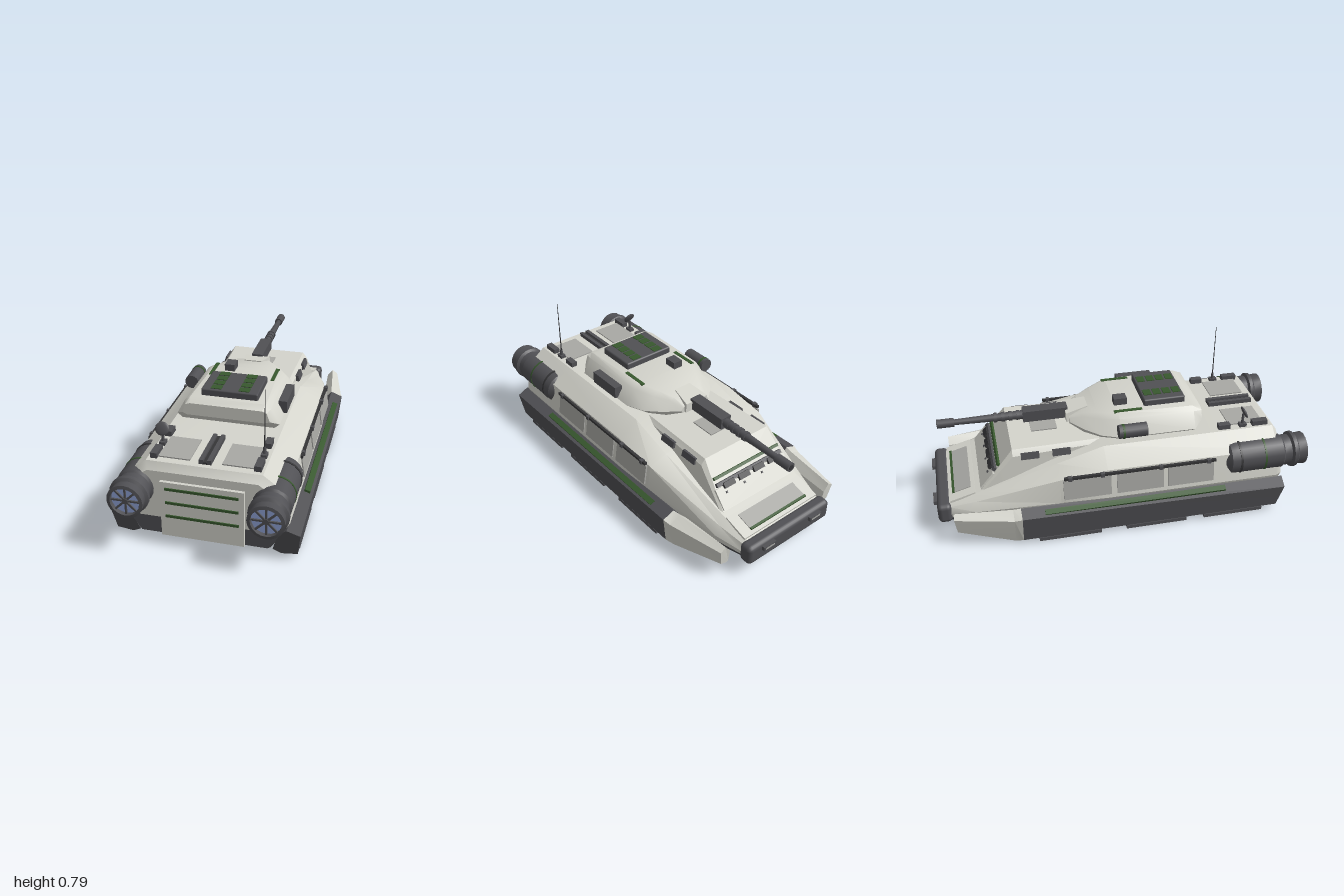
import * as THREE from 'three';
import { toCreasedNormals } from 'three/addons/utils/BufferGeometryUtils.js';
import { RoundedBoxGeometry } from 'three/addons/geometries/RoundedBoxGeometry.js';

const mat = (name, color) => Object.assign(new THREE.MeshStandardMaterial({ color }), { name });
const M = {
  hull: mat('pale hull', 0xd4d4cc),
  panel: mat('grey panel', 0xa8a8a4),
  dark: mat('dark grey', 0x505054),
  black: mat('charcoal', 0x353537),
  green: mat('green trim', 0x38582e),
  pad: mat('lift pad blue', 0x6098b4),
  fan: mat('fan blue', 0x90a4d8),
};

function add(parent, name, geo, material, x = 0, y = 0, z = 0) {
  const m = new THREE.Mesh(geo, material);
  m.name = name;
  m.position.set(x, y, z);
  parent.add(m);
  return m;
}
// box given by its centre and size
const box = (p, name, material, x, y, z, w, h, d) =>
  add(p, name, new THREE.BoxGeometry(w, h, d), material, x, y, z);
// cylinder lying along z
const rod = (p, name, material, x, y, z, r, len, r2 = r, n = 14) =>
  add(p, name, new THREE.CylinderGeometry(r, r2, len, n).rotateX(Math.PI / 2), material, x, y, z);

// closed loft; rings run counterclockwise seen from +z, stations go from +z to -z
function loft(rings, crease = 0.5) {
  const v = [], n = rings[0].length;
  const tri = (...ps) => ps.forEach(p => v.push(...p));
  for (let s = 0; s < rings.length - 1; s++)
    for (let i = 0; i < n; i++) {
      const j = (i + 1) % n, A = rings[s], B = rings[s + 1];
      tri(A[i], B[i], A[j]);
      tri(A[j], B[i], B[j]);
    }
  const a = rings[0], b = rings[rings.length - 1];
  for (let i = 1; i < n - 1; i++) {
    tri(a[0], a[i], a[i + 1]);
    tri(b[0], b[i + 1], b[i]);
  }
  const g = new THREE.BufferGeometry();
  g.setAttribute('position', new THREE.Float32BufferAttribute(v, 3));
  return toCreasedNormals(g, crease);
}
// symmetric ring from its right-hand points, listed bottom to top
const sym = (z, pts) => [
  ...pts.map(([x, y]) => [x, y, z]),
  ...pts.slice().reverse().map(([x, y]) => [-x, y, z]),
];
const mirrorRings = rings => rings.map(r => r.map(([x, y, z]) => [-x, y, z]).reverse());

function buildHull(root) {
  const full = [[.32, .045], [.385, .15], [.41, .2], [.387, .36], [.28, .44]];
  const stations = [
    [.86, [[.31, .06], [.37, .15], [.395, .2], [.36, .34], [.265, .405]]],
    [.83, full],
    [-.1, full],
    [-.35, [[.32, .045], [.38, .14], [.4, .2], [.38, .33], [.28, .365]]],
    [-.78, [[.28, .06], [.31, .11], [.32, .15], [.29, .195], [.25, .22]]],
    [-.92, [[.25, .07], [.26, .09], [.27, .12], [.26, .16], [.24, .175]]],
  ];
  add(root, 'upperHull', loft(stations.map(([z, p]) => sym(z, p.slice(1)))), M.hull);
  add(root, 'lowerHull', loft(stations.map(([z, p]) => sym(z, p.slice(0, 2)))), M.dark);

  // raised front cabin
  add(root, 'cabin', loft([
    sym(-.1, [[.22, .25], [.22, .42], [.2, .438]]),
    sym(-.57, [[.25, .22], [.235, .41], [.212, .44]]),
    sym(-.75, [[.25, .17], [.25, .215], [.24, .228]]),
  ], 0.3), M.hull);
  box(root, 'cabinHatch', M.panel, 0, .441, -.38, .13, .008, .14);

  // sloped front face, local y is its normal
  const face = new THREE.Group();
  face.name = 'frontFace';
  face.position.set(0, .334, -.66);
  face.rotation.x = -.876;
  root.add(face);
  box(face, 'facePlate', M.hull, 0, .003, -.075, .47, .012, .11);
  box(face, 'visorRail', M.dark, 0, .008, -.005, .44, .016, .02);
  box(face, 'visorStripe', M.green, 0, .008, .03, .44, .014, .014);
  for (let i = 0; i < 4; i++) {
    box(face, 'periscope', M.black, -.15 + i * .1, .012, -.02, .07, .022, .03);
    box(face, 'bolt', M.dark, -.18 + i * .12, .01, -.055, .01, .01, .01);
  }

  // lower bow plate and bumper
  const bow = new THREE.Group();
  bow.name = 'bowPlate';
  bow.position.set(0, .202, -.845);
  bow.rotation.x = -.28;
  root.add(bow);
  box(bow, 'bowPanel', M.hull, 0, 0, 0, .5, .012, .14);
  box(bow, 'bowInset', M.panel, 0, .004, 0, .38, .012, .1);
  box(bow, 'bowStripe', M.green, 0, .01, -.045, .38, .012, .012);
  add(root, 'bumper', new RoundedBoxGeometry(.56, .11, .075, 2, .025), M.dark, 0, .125, -.945);
  for (const s of [-1, 1]) {
    box(root, 'bumperLamp', M.dark, s * .16, .15, -.985, .08, .022, .03);
    box(root, 'bumperLampLens', M.panel, s * .16, .15, -.998, .06, .01, .006);
  }

  // rear door
  box(root, 'rearDoor', M.hull, 0, .21, .865, .406, .3, .022);
  for (const y of [.175, .25, .325]) box(root, 'doorStripe', M.green, 0, y, .877, .355, .013, .009);

  // belly lift pads
  for (const z of [.38, -.3]) {
    box(root, 'bellyPadFrame', M.dark, 0, .04, z, .355, .02, .38);
    box(root, 'bellyPad', M.pad, 0, .029, z, .31, .006, .33);
  }
}

function buildSides(root) {
  const skirt = (z, dy, cut = 0) => [
    [.33, .04], [.37, .018], [.45, .03], [.465, .165 + dy], [.4, .19 + dy], [.36, .15],
  ].map(([x, y]) => [x, y, z - cut * (.19 - y)]);
  const body = [skirt(.87, -.01, .25), skirt(-.56, .01)];
  const ear = [
    skirt(-.56, .01),
    [[.34, .03, -.6], [.37, .012, -.6], [.43, .016, -.6], [.455, .165, -.6], [.395, .195, -.6], [.35, .15, -.6]],
    [[.33, .075, -.89], [.34, .07, -.89], [.375, .08, -.89], [.39, .17, -.9], [.36, .19, -.9], [.33, .15, -.9]],
  ];
  for (const s of [-1, 1]) {
    const side = r => (s > 0 ? r : mirrorRings(r));
    add(root, 'skirt', loft(side(body), 0.3), M.dark);
    add(root, 'skirtNose', loft(side(ear), 0.2), M.hull);
    box(root, 'skirtStripe', M.green, s * .438, .183, .045, .03, .012, .97).rotation.z = -s * .38;
    for (const z of [.585, .155, -.312]) {
      box(root, 'skirtPadFrame', M.dark, s * .385, .014, z, .125, .02, .33);
      box(root, 'skirtPad', M.pad, s * .385, .003, z, .095, .006, .28);
    }
    // side panels with their rail
    for (const z of [.345, .07, -.21])
      box(root, 'sidePanel', M.panel, s * .4, .278, z, .009, .11, .25).rotation.z = s * .143;
    box(root, 'sideRail', M.black, s * .394, .345, .075, .016, .014, .81);
    for (const z of [.44, .18, -.13, -.3]) box(root, 'railClip', M.dark, s * .396, .345, z, .022, .022, .02);
    for (const z of [-.315, -.48])
      box(root, 'cabinVent', M.dark, s * .231, .405, z, .025, .035, .095).rotation.z = s * .3;
    buildEngine(root, s * .33);
  }
}

function buildEngine(root, x) {
  const g = new THREE.Group();
  g.name = 'engine';
  g.position.set(x, .305, 0);
  root.add(g);
  const profile = [[0, .49], [.03, .5], [.09, .57], [.093, .6], [.093, .86], [.083, .87], [.083, .91],
    [.097, .92], [.097, .94], [.084, .95], [.088, .995], [.072, .998], [.072, .965]];
  const shell = new THREE.LatheGeometry(profile.map(p => new THREE.Vector2(...p)), 20).rotateX(Math.PI / 2);
  add(g, 'engineShell', toCreasedNormals(shell, 0.5), M.dark);
  rod(g, 'engineBand', M.green, 0, 0, .757, .0955, .01, .0955, 20);
  rod(g, 'engineBand', M.black, 0, 0, .62, .096, .012, .096, 20);
  add(g, 'fanDisc', new THREE.CircleGeometry(.073, 20), M.fan, 0, 0, .975);
  for (let i = 0; i < 4; i++)
    box(g, 'fanSpoke', M.dark, 0, 0, .983, .142, .009, .008).rotation.z = i * Math.PI / 4;
  rod(g, 'fanHub', M.dark, 0, 0, .984, .014, .014);
}

function buildTurret(root) {
  const t = new THREE.Group();
  t.name = 'turret';
  root.add(t);
  add(t, 'turretShell', loft([
    sym(.447, [[.2, .49], [.225, .5], [.21, .545], [.185, .555]]),
    sym(.4, [[.24, .445], [.267, .468], [.222, .55], [.195, .57]]),
    sym(0, [[.24, .445], [.267, .468], [.215, .55], [.18, .57]]),
    sym(-.1, [[.2, .445], [.23, .472], [.165, .535], [.13, .555]]),
    sym(-.18, [[.14, .45], [.165, .48], [.11, .525], [.09, .538]]),
    sym(-.245, [[.08, .475], [.095, .49], [.08, .505], [.07, .512]]),
  ], 0.6), M.hull);
  add(t, 'turretRing', new THREE.CylinderGeometry(.19, .19, .03, 24), M.dark, 0, .438, .15);

  // roof hatch with lit grid
  add(t, 'roofHatch', new RoundedBoxGeometry(.295, .045, .225, 1, .008), M.dark, 0, .583, .26);
  for (const s of [-1, 1]) {
    for (let i = 0; i < 4; i++) box(t, 'hatchCell', M.green, s * .072, .606, .18 + i * .053, .055, .006, .042);
    box(t, 'roofStripe', M.green, s * .168, .567, .055, .02, .012, .15);
  }
  box(t, 'roofSight', M.dark, -.08, .585, .028, .055, .045, .07);
  box(t, 'sideBox', M.dark, .258, .507, .185, .045, .065, .205);

  // side sensor barrel
  rod(t, 'sensor', M.dark, -.275, .513, .055, .037, .15);
  rod(t, 'sensorBand', M.green, -.275, .513, .005, .039, .012);
  box(t, 'sensorArm', M.dark, -.24, .505, .05, .06, .03, .05);

  // gun
  add(t, 'gunMantlet', loft([
    sym(-.14, [[.055, .48], [.05, .552]]),
    sym(-.26, [[.075, .48], [.07, .53]]),
  ], 0.2), M.hull);
  box(t, 'gunHousing', M.dark, 0, .513, -.365, .064, .062, .24);
  rod(t, 'gunBarrel', M.dark, 0, .513, -.67, .024, .4, .015);
  for (const z of [-.51, -.55, -.59, -.63]) rod(t, 'barrelRing', M.dark, 0, .513, z, .026, .018);
  rod(t, 'muzzle', M.dark, 0, .513, -.89, .024, .09);
  rod(t, 'muzzleBore', M.black, 0, .513, -.934, .014, .006);
}

function buildDeck(root) {
  for (const s of [-1, 1]) {
    box(root, 'deckPanel', M.panel, s * .155, .442, .695, .155, .008, .19);
    for (const [z, d] of [[.565, .065], [.765, .085]]) box(root, 'deckBlock', M.dark, s * .25, .452, z, .034, .03, d);
    box(root, 'deckRail', M.dark, s * .02, .45, .68, .02, .025, .25);
    box(root, 'mastBase', M.dark, s * .25, .447, .67, .03, .022, .04);
  }
  box(root, 'deckChannel', M.black, 0, .445, .68, .03, .012, .25);
  // antenna
  add(root, 'antenna', new THREE.CylinderGeometry(.0015, .0035, .34, 6), M.black, .25, .62, .668);
  add(root, 'antennaFoot', new THREE.CylinderGeometry(.007, .011, .05, 8), M.dark, .25, .465, .668);
  // dish
  add(root, 'dishPost', new THREE.CylinderGeometry(.006, .01, .08, 8), M.dark, -.25, .478, .67);
  const dish = add(root, 'dish', new THREE.SphereGeometry(.036, 16, 8), M.dark, -.25, .525, .675);
  dish.scale.set(1, .95, .25);
  dish.rotation.x = -.45;
}

export function createModel() {
  const root = new THREE.Group();
  root.name = 'hoverTank';
  buildHull(root);
  buildSides(root);
  buildTurret(root);
  buildDeck(root);
  return root;
}
